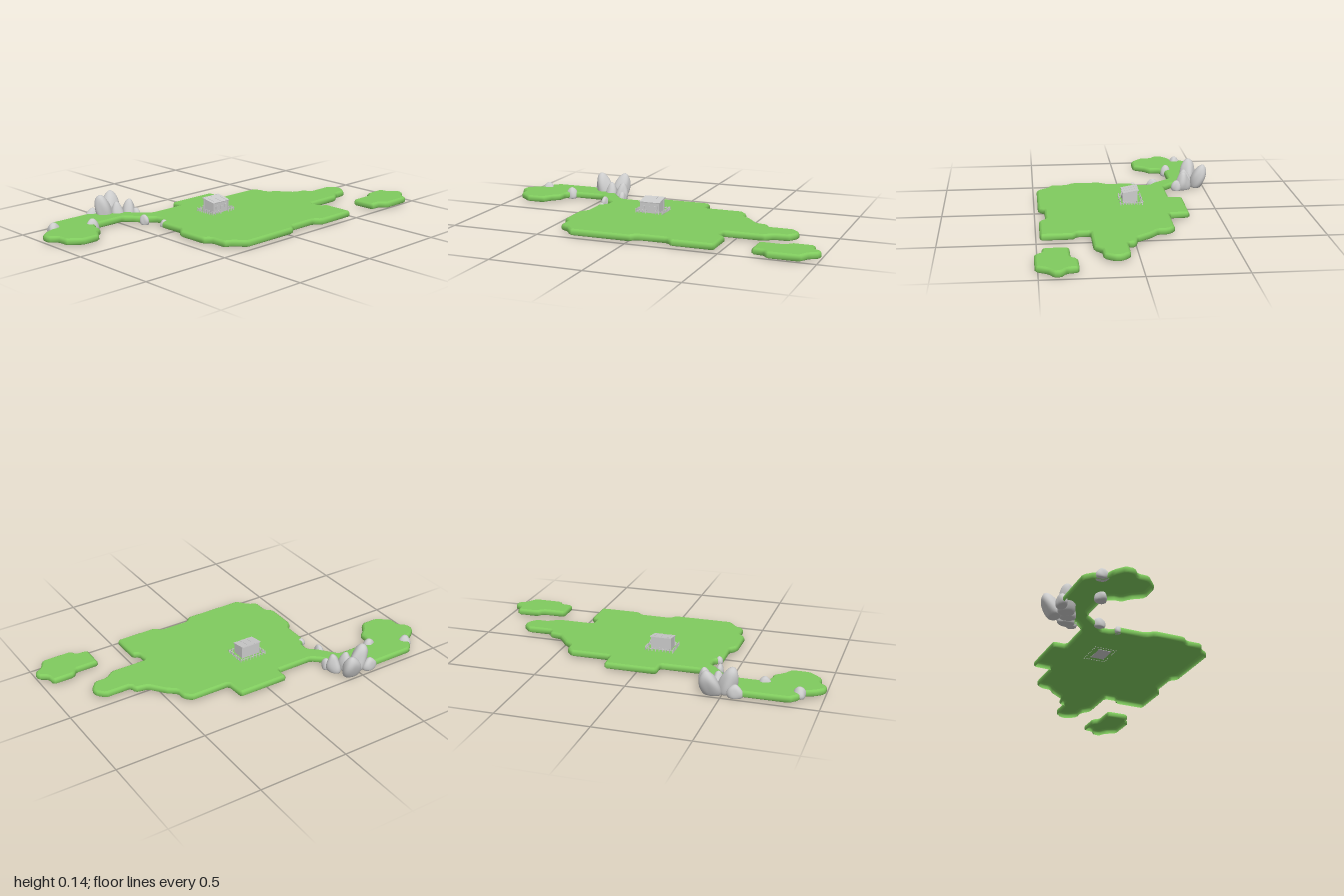
import * as THREE from 'three';
import { mergeVertices } from 'three/addons/utils/BufferGeometryUtils.js';

const green = new THREE.MeshStandardMaterial({ color: 0x80cb5e, side: THREE.DoubleSide });
const grey = new THREE.MeshStandardMaterial({ color: 0xcccccc });

// Shore outlines as x, z pairs, clockwise from above
const MAIN = [
  -.33, -.255, -.115, -.255, -.115, -.33, .175, -.33, .18, -.22, .405, -.22, .44, -.18, .44, -.13,
  .49, -.09, .55, -.01, .62, .005, .625, .045, .77, .045, .81, .09, .81, .13, .77, .18, .70, .18,
  .65, .22, .44, .22, .44, .29, .475, .305, .475, .48, .24, .48, .21, .445, .045, .445, .015, .48,
  -.32, .48, -.365, .42, -.41, .40, -.41, .31, -.445, .28, -.445, .11, -.41, .07, -.41, -.08,
  -.37, -.11, -.37, -.17, -.41, -.20, -.45, -.25, -.49, -.30, -.67, -.30, -.71, -.26, -.71, -.21,
  -.75, -.18, -.79, -.12, -.89, -.12, -.96, -.18, -.96, -.24, -1, -.27, -1, -.32, -.95, -.36,
  -.89, -.38, -.89, -.43, -.845, -.475, -.60, -.475, -.53, -.44, -.45, -.40, -.38, -.30];
const ISLET = [
  .665, .34, .80, .34, .825, .305, .95, .305, .955, .36, 1, .39, 1, .43, .955, .455,
  .92, .515, .75, .515, .73, .48, .665, .475];

// Cut every corner of an outline so the shore reads as softened steps
function softOutline(flat) {
  const pts = [];
  for (let i = 0; i < flat.length; i += 2) pts.push(new THREE.Vector2(flat[i], flat[i + 1]));
  return pts.flatMap((p, i) => {
    const near = [pts.at(i - 1), pts[(i + 1) % pts.length]];
    return near.map((q) => p.clone().lerp(q, Math.min(.3, .011 / p.distanceTo(q))));
  });
}

// Shift an outline inwards by d along mitred normals
function inset(pts, d) {
  const normal = (a, b) => new THREE.Vector2(b.y - a.y, a.x - b.x).normalize();
  return pts.map((p, i) => {
    const n1 = normal(pts.at(i - 1), p), n2 = normal(p, pts[(i + 1) % pts.length]);
    const m = n1.clone().add(n2).normalize();
    return p.clone().addScaledVector(m, -d / Math.max(.7, m.dot(n1)));
  });
}

// Thin shell of land: rounded rim plus a flat top, open underneath
function land(name, flat) {
  const group = new THREE.Group();
  group.name = name;
  const outline = softOutline(flat);
  const profile = [[.007, .008], [0, .014], [0, .029], [.004, .037], [.012, .042]];
  const rings = profile.map(([d, y]) => inset(outline, d).map((p) => [p.x, y, p.y]));
  const n = outline.length, index = [];
  for (let r = 0; r < rings.length - 1; r++) {
    for (let i = 0; i < n; i++) {
      const a = r * n + i, b = r * n + (i + 1) % n;
      index.push(a, a + n, b, b, a + n, b + n);
    }
  }
  const rim = new THREE.BufferGeometry();
  rim.setAttribute('position', new THREE.Float32BufferAttribute(rings.flat(2), 3));
  rim.setIndex(index);
  rim.computeVertexNormals();
  const shape = new THREE.Shape(rings.at(-1).map(([x, , z]) => new THREE.Vector2(x, -z)));
  const top = new THREE.ShapeGeometry(shape).rotateX(-Math.PI / 2).translate(0, .042, 0);
  for (const [part, geo] of [['shoreRim', rim], ['grassTop', top]]) {
    const mesh = new THREE.Mesh(geo, green);
    mesh.name = part;
    group.add(mesh);
  }
  return group;
}

// Lumpy boulder from y0 to y0 + h that can lean and swell towards its top
function boulder(name, x, z, rx, rz, y0, h, { leanX = 0, leanZ = 0, taper = .25, seed = 1 } = {}) {
  let geo = new THREE.IcosahedronGeometry(1, 5);
  geo.deleteAttribute('normal');
  geo.deleteAttribute('uv');
  geo = mergeVertices(geo, 1e-4);
  const pos = geo.attributes.position, v = new THREE.Vector3();
  for (let i = 0; i < pos.count; i++) {
    v.fromBufferAttribute(pos, i);
    const lump = 1 + .09 * Math.sin(3.1 * v.x + seed * 2.3) + .08 * Math.sin(3.7 * v.z + 2 * v.y + seed * 1.7);
    const t = THREE.MathUtils.clamp((v.y + .6) / 1.6, 0, 1);
    const w = lump * (1 - taper * t);
    pos.setXYZ(i, x + v.x * rx * w + leanX * t, y0 + h * t, z + v.z * rz * w + leanZ * t);
  }
  geo.computeVertexNormals();
  const mesh = new THREE.Mesh(geo, grey);
  mesh.name = name;
  return mesh;
}

function box(parent, name, w, h, d, x, y, z) {
  const mesh = new THREE.Mesh(new THREE.BoxGeometry(w, h, d), grey);
  mesh.name = name;
  mesh.position.set(x, y, z);
  parent.add(mesh);
  return mesh;
}

function hut() {
  const group = new THREE.Group();
  group.name = 'hut';
  const cx = -.06, cz = -.027;
  // Walls with a top sloping down towards the front
  const side = new THREE.Shape([[-.037, .04], [.037, .04], [.037, .099], [-.037, .112]].map((p) => new THREE.Vector2(...p)));
  const geo = new THREE.ExtrudeGeometry(side, { depth: .108, bevelEnabled: false });
  geo.rotateY(-Math.PI / 2).translate(cx + .054, 0, cz);
  const walls = new THREE.Mesh(geo, grey);
  walls.name = 'walls';
  group.add(walls);
  // Roof boards
  for (let i = 0; i < 6; i++) {
    const board = box(group, 'roofBoard', .0195, .004 + (i % 2) * .0015, .091, cx - .05 + i * .02, .109, cz - .002);
    board.rotation.x = .175;
  }
  // Door, windows and corner posts
  box(group, 'door', .022, .038, .004, cx + .01, .061, cz + .038);
  for (const x of [-.032, .038]) {
    box(group, 'windowFrame', .02, .018, .003, cx + x, .074, cz + .038);
    box(group, 'windowBar', .002, .018, .005, cx + x, .074, cz + .038);
  }
  for (const sx of [-1, 1]) for (const sz of [-1, 1]) {
    const h = sz > 0 ? .059 : .071;
    box(group, 'cornerPost', .005, h, .005, cx + sx * .054, .04 + h / 2, cz + sz * .037);
  }
  return group;
}

// Uneven stake fence around the hut with a gap in front of the door
function fence() {
  const group = new THREE.Group();
  group.name = 'fence';
  const x0 = -.135, x1 = .02, z0 = -.093, z1 = .027, count = 9;
  let k = 0;
  const stake = (x, z) => {
    const h = .02 + .006 * Math.abs(Math.sin(++k * 2.4));
    const mesh = box(group, 'fenceStake', .0045, h, .0045, x, .039 + h / 2, z);
    mesh.rotation.set(.12 * Math.sin(k * 1.9), 0, .12 * Math.sin(k * 3.1));
  };
  for (let i = 0; i < count; i++) {
    const x = x0 + (x1 - x0) * i / (count - 1), z = z0 + (z1 - z0) * i / (count - 1);
    stake(x, z0);
    if (i < 4 || i > 5) stake(x, z1);
    if (i > 0 && i < count - 1) [x0, x1].forEach((sx) => stake(sx, z));
  }
  const mx = (x0 + x1) / 2, mz = (z0 + z1) / 2;
  box(group, 'backRail', x1 - x0, .003, .002, mx, .054, z0);
  box(group, 'frontRail', .06, .003, .002, x0 + .03, .054, z1);
  box(group, 'frontRail', .04, .003, .002, x1 - .02, .054, z1);
  for (const x of [x0, x1]) box(group, 'sideRail', .002, .003, z1 - z0, x, .054, mz);
  return group;
}

function rocks() {
  const group = new THREE.Group();
  group.name = 'rocks';
  group.add(
    // Crag beside the narrow neck
    boulder('tallCrag', -.51, -.42, .055, .05, 0, .145, { leanX: -.035, leanZ: -.005, taper: .2, seed: 1 }),
    boulder('backCrag', -.45, -.455, .05, .045, 0, .137, { leanX: .025, leanZ: -.04, taper: .1, seed: 2 }),
    boulder('middleCrag', -.465, -.39, .045, .045, 0, .1, { taper: .45, seed: 3 }),
    boulder('sideCrag', -.395, -.375, .042, .05, 0, .105, { leanX: .01, taper: .4, seed: 4 }),
    boulder('leftCrag', -.57, -.465, .042, .035, 0, .07, { taper: .3, seed: 5 }),
    boulder('frontCrag', -.375, -.335, .028, .03, 0, .06, { seed: 6 }),
    // Loose stones along the shore
    boulder('shoreStone', -.88, -.39, .034, .035, .01, .057, { seed: 7 }),
    boulder('shoreStone', -.69, -.31, .035, .036, .003, .064, { seed: 8 }),
    boulder('shoreStone', -.425, -.2, .024, .034, .005, .053, { seed: 9 }),
    boulder('shoreStone', -.39, -.08, .021, .02, .01, .04, { seed: 10 }));
  return group;
}

export function createModel() {
  const model = new THREE.Group();
  model.name = 'islandScene';
  model.add(land('mainIsland', MAIN), land('smallIsland', ISLET), rocks(), hut(), fence());
  return model;
}
